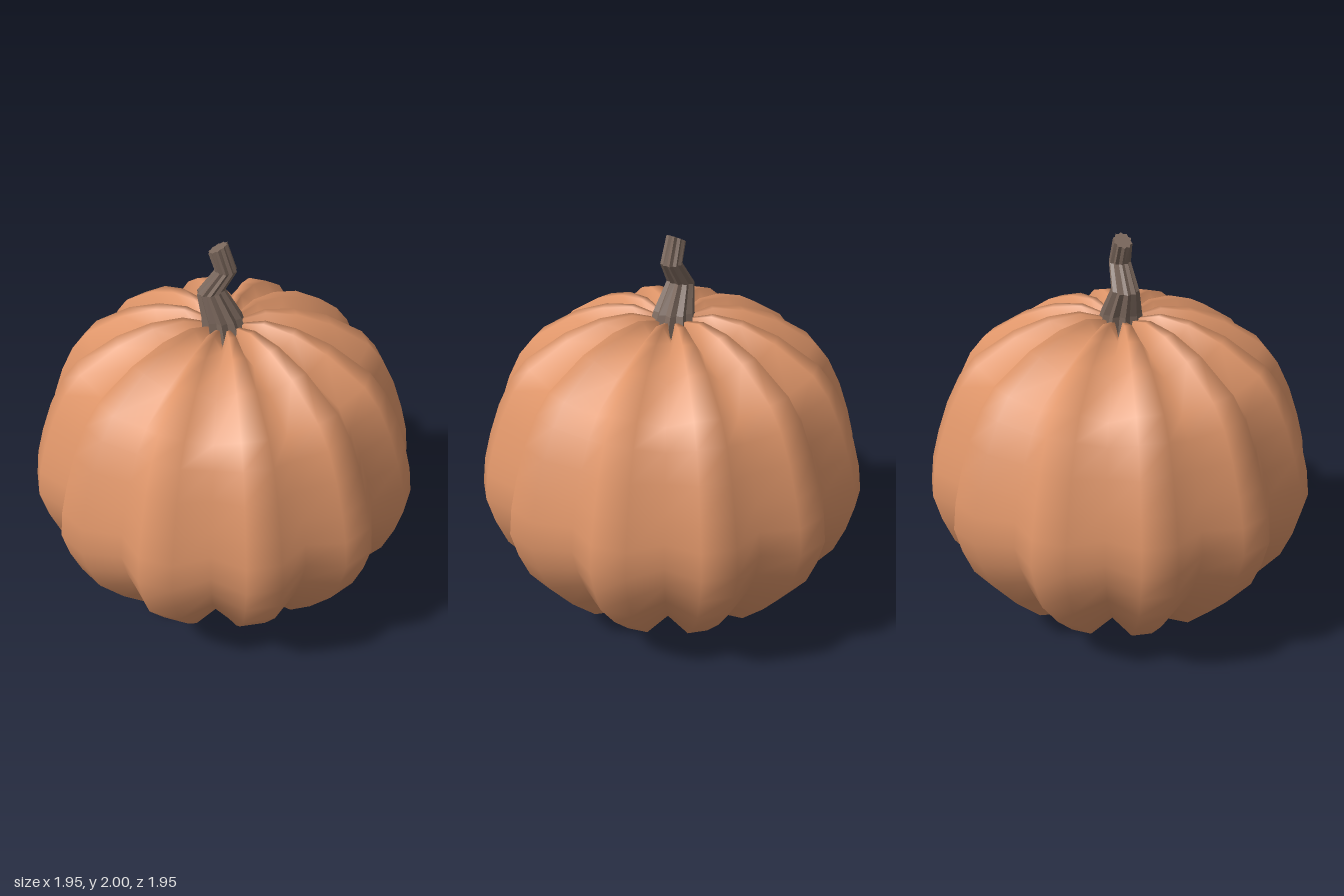
import * as THREE from 'three';

// Skin stacked closed rings (bottom to top); point(row, side) returns [x, y, z]
function loft(rows, sides, point) {
  const positions = [], index = [];
  for (let j = 0; j < rows; j++)
    for (let i = 0; i < sides; i++) positions.push(...point(j, i));
  for (let j = 0; j < rows - 1; j++)
    for (let i = 0; i < sides; i++) {
      const n = (i + 1) % sides;
      const a = j * sides + i, b = j * sides + n;
      const c = b + sides, d = a + sides;
      if (j > 0) index.push(a, b, c); // first row is a single pole
      else index.push(a, c, d);
      if (j > 0 && j < rows - 2) index.push(a, c, d);
    }
  const geometry = new THREE.BufferGeometry();
  geometry.setAttribute('position', new THREE.Float32BufferAttribute(positions, 3));
  geometry.setIndex(index);
  geometry.computeVertexNormals();
  return geometry;
}

// Ribbed body: two ridge columns, then one groove column, repeated twelve times
function createBody() {
  // Ridge profile: radius, height
  const profile = [
    [0, 0.08], [0.1, 0.03], [0.26, 0], [0.42, 0.02], [0.59, 0.1], [0.74, 0.255],
    [0.885, 0.44], [0.94, 0.58], [0.975, 0.72], [0.957, 0.86], [0.92, 1.0],
    [0.865, 1.16], [0.797, 1.3], [0.717, 1.4], [0.52, 1.53], [0.35, 1.595],
    [0.2, 1.615], [0.1, 1.59], [0, 1.52],
  ];
  const sides = 36, middle = 0.75;
  const geometry = loft(profile.length, sides, (j, i) => {
    const [r, y] = profile[j];
    const isPole = j === 0 || j === profile.length - 1;
    const s = i % 3 === 2 && !isPole ? 0.897 : 1;
    const angle = (i / sides) * Math.PI * 2;
    return [r * s * Math.sin(angle), middle + (y - middle) * s, r * s * Math.cos(angle)];
  });
  const mesh = new THREE.Mesh(geometry, new THREE.MeshStandardMaterial({ color: 0xdd9468 }));
  mesh.name = 'ribbedBody';
  return mesh;
}

// Crooked fluted stem, bent in the diagonal plane with a slanted cut top
function createStem() {
  // Radius, height, sideways offset (same in x and z), slant of the ring
  const rings = [
    [0, 1.47, 0, 0], [0.125, 1.49, 0.005, 0], [0.1, 1.615, -0.01, 0],
    [0.068, 1.745, -0.047, 0.1], [0.053, 1.86, 0.005, 0],
    [0.046, 1.974, -0.022, 0.4], [0, 1.974, -0.022, 0],
  ];
  const sides = 20;
  const geometry = loft(rings.length, sides, (j, i) => {
    const [radius, y, offset, slant] = rings[j];
    const r = radius * (i % 2 ? 0.82 : 1);
    const angle = (i / sides) * Math.PI * 2;
    const dx = r * Math.sin(angle), dz = r * Math.cos(angle);
    return [offset + dx, y + slant * (dx + dz), offset + dz];
  });
  const mesh = new THREE.Mesh(geometry, new THREE.MeshStandardMaterial({ color: 0x7a675c, flatShading: true }));
  mesh.name = 'stem';
  return mesh;
}

export function createModel() {
  const group = new THREE.Group();
  group.name = 'pumpkin';
  group.add(createBody(), createStem());
  return group;
}
